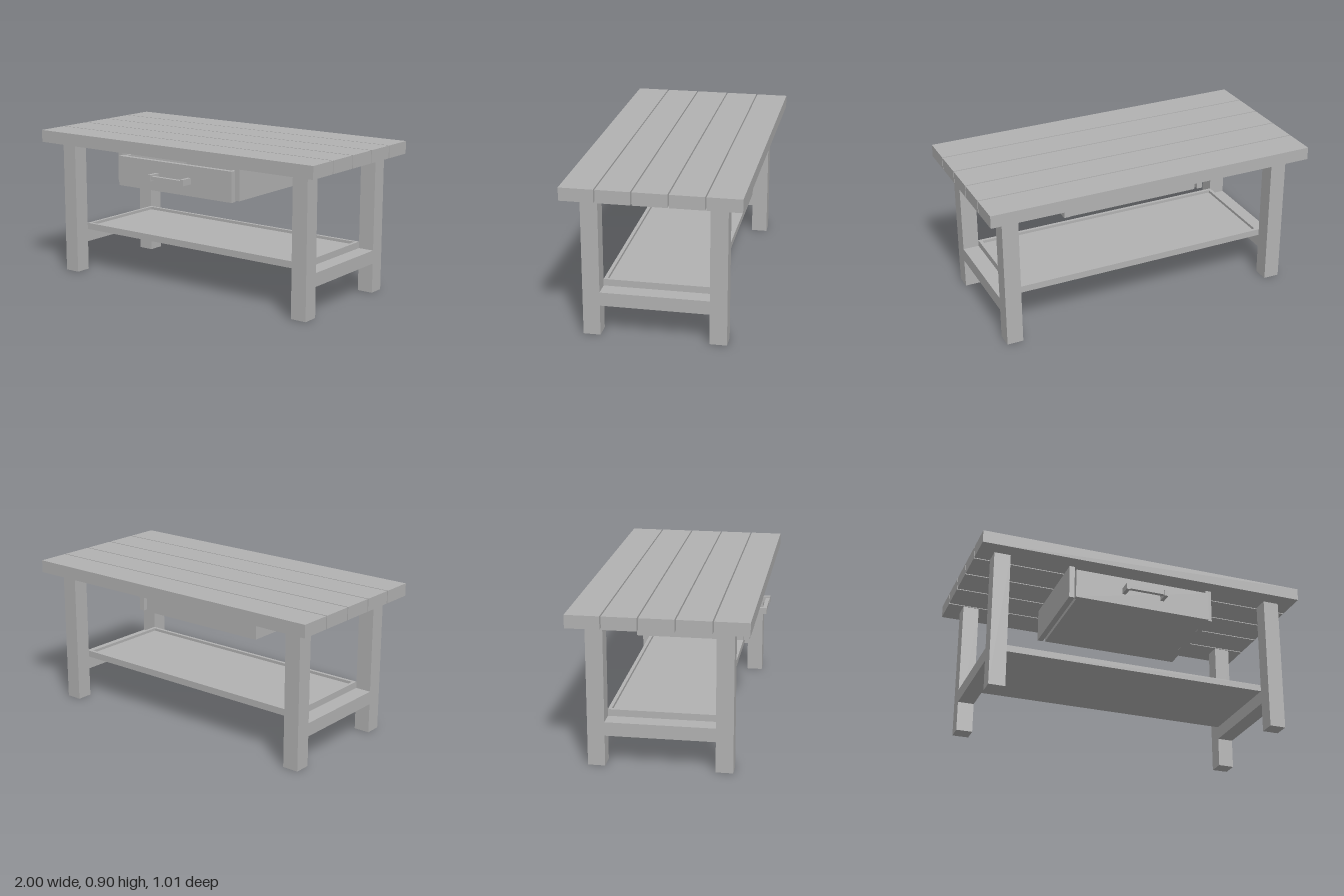
import * as THREE from 'three';

export function createModel() {
  const model = new THREE.Group();
  const grey = new THREE.MeshStandardMaterial({ color: 0xb2b2b2 });
  grey.name = 'plain grey';

  // Box given by its lower and upper limits on each axis
  function box(name, [x0, x1], [y0, y1], [z0, z1], parent = model) {
    const mesh = new THREE.Mesh(new THREE.BoxGeometry(x1 - x0, y1 - y0, z1 - z0), grey);
    mesh.position.set((x0 + x1) / 2, (y0 + y1) / 2, (z0 + z1) / 2);
    mesh.name = name;
    parent.add(mesh);
    return mesh;
  }
  function group(name) {
    const g = new THREE.Group();
    g.name = name;
    model.add(g);
    return g;
  }
  // Limits of a part mirrored to the given side
  const mirror = (side, inner, outer) => (side > 0 ? [inner, outer] : [-outer, -inner]);

  // Table top: five planks with narrow gaps
  const top = group('tableTop');
  for (let i = 0; i < 5; i++) {
    const z = 0.397 - i * 0.201;
    box('plank', [-1, 1], [0.825, 0.9], [z - 0.0965, z + 0.0965], top);
  }

  // Legs and the low stretchers joining them front to back
  for (const side of [1, -1]) {
    const x = mirror(side, 0.81, 0.907);
    box('frontLeg', x, [0, 0.825], [0.304, 0.402]);
    box('backLeg', x, [0, 0.825], [-0.414, -0.316]);
    box('stretcher', x, [0.18, 0.26], [-0.316, 0.304]);
  }

  // Lower shelf: recessed panel inside a raised rim
  const shelf = group('lowerShelf');
  box('shelfPanel', [-0.79, 0.79], [0.26, 0.283], [-0.296, 0.284], shelf);
  box('frontRim', [-0.81, 0.81], [0.26, 0.3], [0.284, 0.304], shelf);
  box('backRim', [-0.81, 0.81], [0.26, 0.3], [-0.316, -0.296], shelf);
  for (const side of [1, -1]) {
    box('sideRim', mirror(side, 0.79, 0.81), [0.26, 0.3], [-0.296, 0.284], shelf);
  }

  // Rails that carry the drawer
  for (const side of [1, -1]) {
    box('drawerRail', mirror(side, 0.418, 0.452), [0.622, 0.825], [-0.214, 0.402]);
  }

  // Open-topped drawer
  const drawer = group('drawer');
  box('drawerFront', [-0.42, 0.42], [0.613, 0.792], [0.402, 0.432], drawer);
  box('drawerBottom', [-0.41, 0.41], [0.613, 0.633], [-0.195, 0.402], drawer);
  box('drawerBack', [-0.41, 0.41], [0.633, 0.79], [-0.195, -0.175], drawer);
  for (const side of [1, -1]) {
    box('drawerSide', mirror(side, 0.39, 0.41), [0.633, 0.79], [-0.175, 0.402], drawer);
  }

  // Drawer handle: two posts and a bar
  const handle = group('drawerHandle');
  for (const side of [1, -1]) {
    const x = -0.003 + side * 0.12;
    box('handlePost', [x - 0.011, x + 0.011], [0.684, 0.721], [0.432, 0.504], handle);
  }
  box('handleBar', [-0.112, 0.106], [0.691, 0.713], [0.478, 0.501], handle);

  return model;
}
